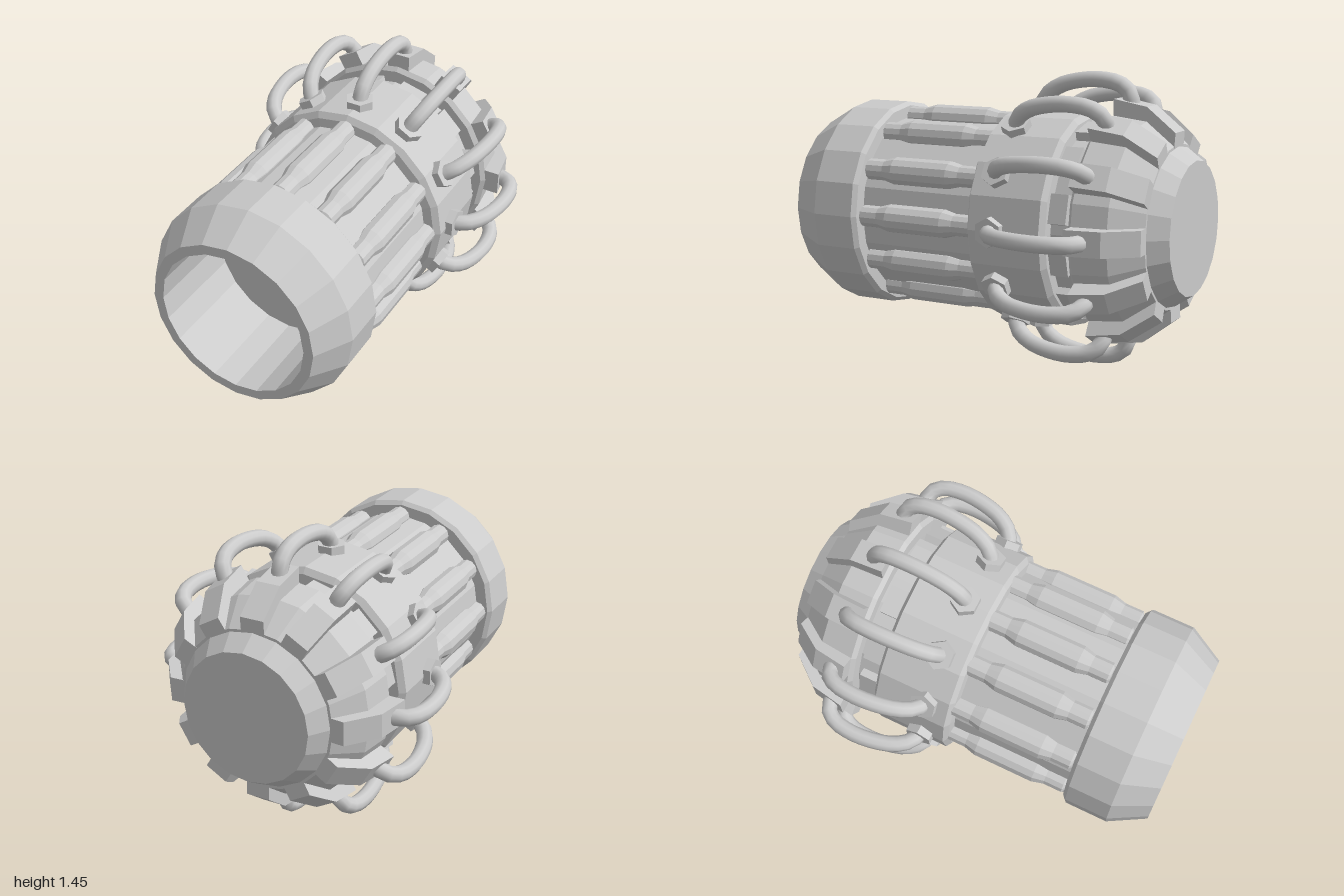
import * as THREE from 'three';

const mat = new THREE.MeshStandardMaterial({ color: 0xcccccc, flatShading: true });
const smooth = new THREE.MeshStandardMaterial({ color: 0xcccccc });
const CENTRE_Y = 0.73;
const COUNT = 12;

// Solid of revolution about z from [radius, z] pairs listed back to front
function turned(name, points, sides = 20) {
  const geo = new THREE.LatheGeometry(points.map(([r, z]) => new THREE.Vector2(r, z)), sides);
  geo.rotateX(Math.PI / 2);
  const mesh = new THREE.Mesh(geo, mat);
  mesh.name = name;
  return mesh;
}

// Twelve copies of a part modelled at the top (+y), spread about the z axis
function ring(name, geo, material = mat, offset = 0) {
  const group = new THREE.Group();
  group.name = name + 's';
  for (let i = 0; i < COUNT; i++) {
    const mesh = new THREE.Mesh(geo, material);
    mesh.name = name;
    mesh.rotation.z = ((i + offset) / COUNT) * Math.PI * 2;
    group.add(mesh);
  }
  return group;
}

export function createModel() {
  const model = new THREE.Group();
  model.name = 'device';
  const body = new THREE.Group();
  body.name = 'body';
  body.position.y = CENTRE_Y;
  model.add(body);

  // Rear cap and tapered head
  body.add(turned('rearCap', [[0, -1], [0.325, -1], [0.39, -0.905], [0.37, -0.89]]));
  body.add(turned('head', [[0, -0.91], [0.4, -0.91], [0.51, -0.77], [0.53, -0.6], [0.51, -0.58], [0.4, -0.575]]));

  // Narrow neck and raised collar
  body.add(turned('neck', [[0.45, -0.6], [0.45, -0.42]]));
  body.add(turned('collar', [[0.42, -0.465], [0.5, -0.46], [0.53, -0.44], [0.53, -0.07], [0.5, -0.05], [0.43, -0.04]]));

  // Core barrel
  body.add(turned('core', [[0.455, -0.08], [0.455, 0.62]]));

  // Front muzzle with a closed bore
  body.add(turned('muzzle', [
    [0.43, 0.575], [0.51, 0.58], [0.53, 0.6], [0.53, 0.82], [0.43, 1], [0.38, 1], [0.38, 0.52], [0, 0.52],
  ]));

  // Rods along the barrel, thicker in the middle
  const rod = new THREE.LatheGeometry([
    [0.054, -0.07], [0.054, 0.04], [0.07, 0.1], [0.07, 0.41], [0.054, 0.47], [0.054, 0.565], [0.04, 0.575], [0, 0.575],
  ].map(([r, z]) => new THREE.Vector2(r, z)), 12);
  rod.rotateX(Math.PI / 2);
  rod.translate(0, 0.452, 0);
  body.add(ring('rod', rod));

  // Blocks around the neck
  const block = new THREE.BoxGeometry(0.14, 0.06, 0.09);
  block.translate(0, 0.453, -0.51);
  body.add(ring('neckBlock', block, mat, 0.5));

  // Fins on the head
  const finShape = new THREE.Shape([
    [-0.91, 0.38], [-0.6, 0.45], [-0.6, 0.6], [-0.77, 0.57], [-0.915, 0.455],
  ].map(([z, r]) => new THREE.Vector2(z, r)));
  const fin = new THREE.ExtrudeGeometry(finShape, { depth: 0.12, bevelEnabled: false });
  fin.translate(0, 0, -0.06);
  fin.rotateY(-Math.PI / 2);
  body.add(ring('fin', fin));

  // Hexagonal nuts on the collar
  const nut = new THREE.CylinderGeometry(0.072, 0.072, 0.08, 6);
  nut.rotateY(Math.PI / 2);
  nut.translate(0, 0.523, -0.19);
  body.add(ring('nut', nut));

  // Cables arching from the nuts to the fins
  const path = new THREE.CatmullRomCurve3([
    [0.53, -0.19], [0.59, -0.21], [0.645, -0.28], [0.677, -0.39], [0.685, -0.51], [0.665, -0.61], [0.62, -0.66], [0.55, -0.67],
  ].map(([r, z]) => new THREE.Vector3(0, r, z)));
  body.add(ring('cable', new THREE.TubeGeometry(path, 14, 0.04, 10), smooth));

  return model;
}
